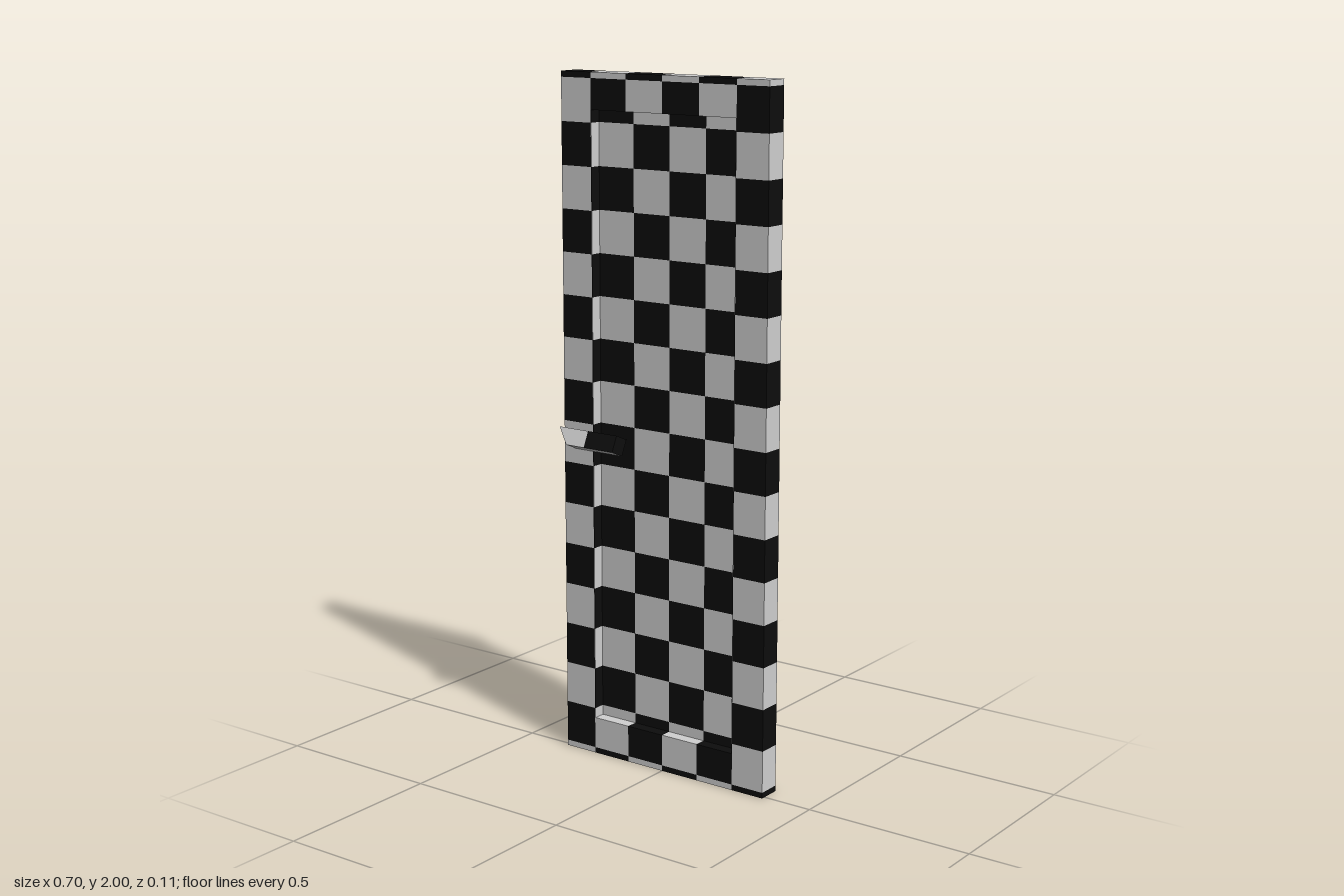
import * as THREE from 'three';

const CELL = 0.1229;                        // checker square size
const W = 0.35, H = 2;                      // door half width and height
const FRONT = 0.012, BACK = -0.056;         // z of front sheet and open back
const PX = 0.244, P0 = 0.11, P1 = 1.896;    // recessed panel bounds
const PZ = -0.023;                          // z of the recessed panel

const light = new THREE.MeshStandardMaterial({ color: 0xd0d0d0, side: THREE.DoubleSide });
light.name = 'light grey';
const dark = new THREE.MeshStandardMaterial({ color: 0x0d0d0d, side: THREE.DoubleSide });
dark.name = 'black';

// the checker is projected straight through the door along z
const isDark = (x, y) =>
  Math.abs(Math.floor(x / CELL) + Math.floor((y - 1) / CELL)) % 2 === 1;

// split a range at the checker lines
function cuts(a, b, origin) {
  const list = [a];
  for (let k = Math.ceil((a - origin) / CELL); origin + k * CELL < b; k++) {
    const v = origin + k * CELL;
    if (v > a + 1e-6) list.push(v);
  }
  return [...list, b];
}

// mesh of quads, each with its own colour: { corners (counter-clockwise), dark }
function quadMesh(name, quads) {
  const positions = [];
  const geometry = new THREE.BufferGeometry();
  [false, true].forEach((shade, material) => {
    const start = positions.length / 3;
    for (const q of quads.filter((item) => item.dark === shade)) {
      const [a, b, c, d] = q.corners;
      positions.push(...a, ...b, ...c, ...a, ...c, ...d);
    }
    const count = positions.length / 3 - start;
    if (count) geometry.addGroup(start, count, material);
  });
  geometry.setAttribute('position', new THREE.Float32BufferAttribute(positions, 3));
  geometry.computeVertexNormals();
  const mesh = new THREE.Mesh(geometry, [light, dark]);
  mesh.name = name;
  return mesh;
}

// sheet facing the front
function sheet(x0, x1, y0, y1, z) {
  const xs = cuts(x0, x1, 0), ys = cuts(y0, y1, 1), quads = [];
  for (let i = 0; i < xs.length - 1; i++) {
    for (let j = 0; j < ys.length - 1; j++) {
      const [a, b, c, d] = [xs[i], xs[i + 1], ys[j], ys[j + 1]];
      quads.push({
        corners: [[a, c, z], [b, c, z], [b, d, z], [a, d, z]],
        dark: isDark((a + b) / 2, (c + d) / 2),
      });
    }
  }
  return quads;
}

// upright wall at constant x, facing the given direction
function sideWall(x, y0, y1, z0, z1, facing) {
  const ys = cuts(y0, y1, 1);
  return ys.slice(0, -1).map((a, j) => {
    const b = ys[j + 1];
    const corners = [[x, a, z1], [x, a, z0], [x, b, z0], [x, b, z1]];
    if (facing < 0) corners.reverse();
    return { corners, dark: isDark(x, (a + b) / 2) };
  });
}

// level wall at constant y, facing the given direction
function levelWall(y, x0, x1, z0, z1, facing) {
  const xs = cuts(x0, x1, 0);
  return xs.slice(0, -1).map((a, i) => {
    const b = xs[i + 1];
    const corners = [[a, y, z1], [b, y, z1], [b, y, z0], [a, y, z0]];
    if (facing < 0) corners.reverse();
    return { corners, dark: isDark((a + b) / 2, y) };
  });
}

// tilted square bar with a slanted outer end
function lever() {
  const split = -2 * CELL, inner = -0.143;
  // [outer x, y, z] of the section: top front, bottom front, bottom back, top back
  const section = [
    [-0.35, 0.985, 0.035], [-0.31, 0.94, 0.056],
    [-0.31, 0.92, 0.01], [-0.35, 0.965, -0.011],
  ];
  const at = (p, x) => [x, p[1], p[2]];
  const quads = [];
  section.forEach((p, i) => {
    const q = section[(i + 1) % 4];
    quads.push({ corners: [p, q, at(q, split), at(p, split)], dark: false });
    quads.push({
      corners: [at(p, split), at(q, split), at(q, inner), at(p, inner)],
      dark: i !== 1,                        // underside stays light
    });
  });
  quads.push({ corners: [...section].reverse(), dark: false });
  quads.push({ corners: section.map((p) => at(p, inner)), dark: true });
  return quads;
}

export function createModel() {
  const door = new THREE.Group();
  door.name = 'door';

  // front frame around the recess
  door.add(quadMesh('frontFrame', [
    ...sheet(-W, -PX, 0, H, FRONT),
    ...sheet(PX, W, 0, H, FRONT),
    ...sheet(-PX, PX, 0, P0, FRONT),
    ...sheet(-PX, PX, P1, H, FRONT),
  ]));

  // recessed panel and its rim
  door.add(quadMesh('recessedPanel', sheet(-PX, PX, P0, P1, PZ)));
  door.add(quadMesh('recessRim', [
    ...sideWall(-PX, P0, P1, PZ, FRONT, 1),
    ...sideWall(PX, P0, P1, PZ, FRONT, -1),
    ...levelWall(P0, -PX, PX, PZ, FRONT, 1),
    ...levelWall(P1, -PX, PX, PZ, FRONT, -1),
  ]));

  // outer edges; the back and the bottom are open
  door.add(quadMesh('outerEdges', [
    ...sideWall(-W, 0, H, BACK, FRONT, -1),
    ...sideWall(W, 0, H, BACK, FRONT, 1),
    ...levelWall(H, -W, W, BACK, FRONT, 1),
  ]));

  door.add(quadMesh('handle', lever()));
  return door;
}
